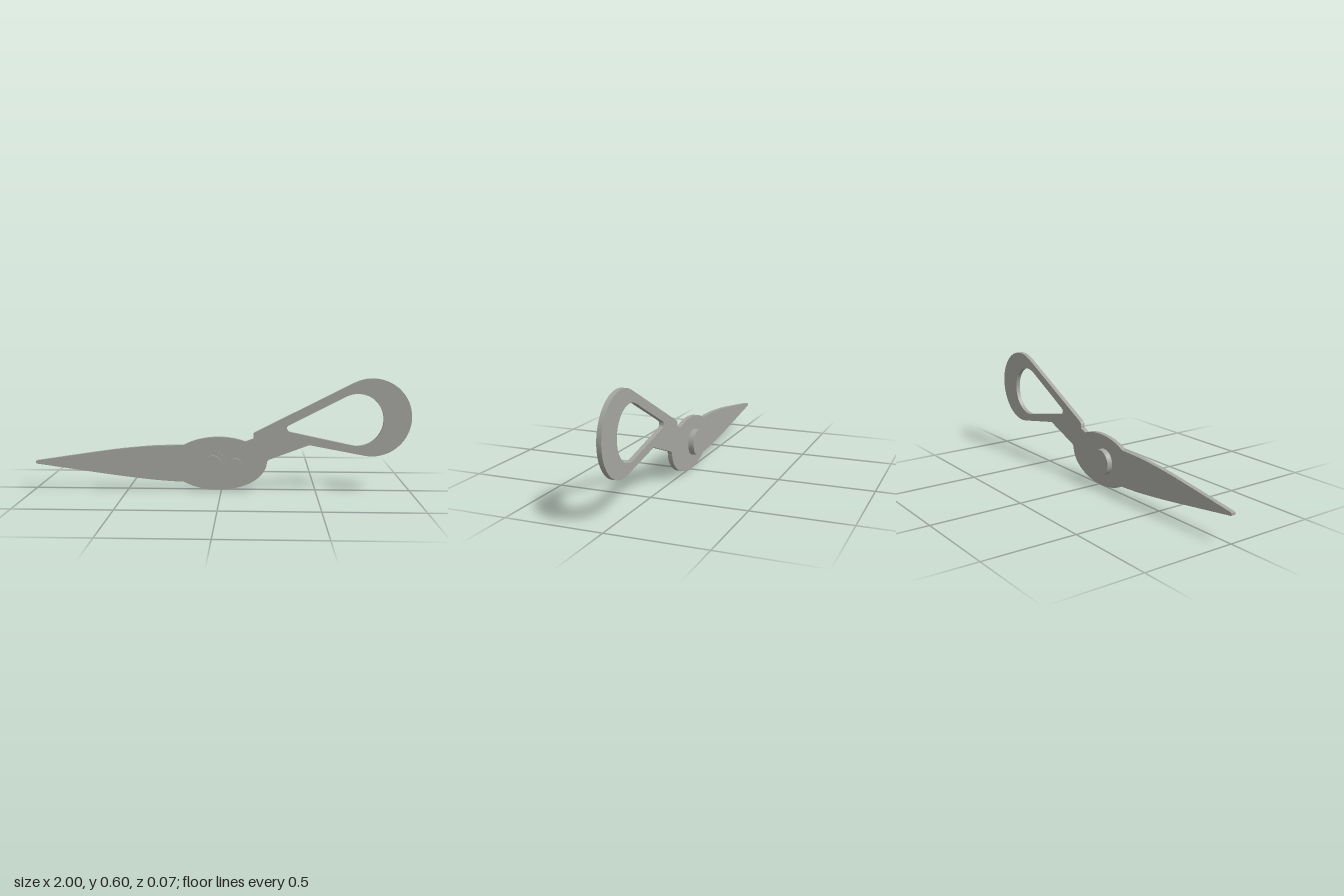
import * as THREE from 'three';
import { toCreasedNormals } from 'three/addons/utils/BufferGeometryUtils.js';

const PIVOT_Y = 0.142;

// One-piece outline: blade, pivot boss and looped handle
function bladeOutline() {
  const s = new THREE.Shape();
  // upper blade edge
  s.moveTo(-1, 0.138);
  s.lineTo(-1, 0.15);
  s.lineTo(-0.99, 0.153);
  s.splineThru([[-0.6, 0.212], [-0.4, 0.234], [-0.28, 0.24], [-0.2, 0.242]].map(p => new THREE.Vector2(...p)));
  // top of the boss and the stop notch
  s.bezierCurveTo(-0.11, 0.293, 0.03, 0.3, 0.128, 0.262);
  s.lineTo(0.17, 0.278);
  s.lineTo(0.17, 0.302);
  s.quadraticCurveTo(0.172, 0.309, 0.187, 0.316);
  // handle loop
  s.lineTo(0.70, 0.578);
  s.absarc(0.794, 0.394, 0.206, 2.05, -1.755, true);
  s.lineTo(0.465, 0.246);
  s.lineTo(0.256, 0.167);
  s.quadraticCurveTo(0.242, 0.162, 0.242, 0.145);
  // underside of the boss
  s.bezierCurveTo(0.23, 0.06, 0.12, 0.003, -0.016, 0.001);
  s.bezierCurveTo(-0.09, 0.0, -0.15, 0.018, -0.2, 0.043);
  // lower blade edge
  s.splineThru([[-0.28, 0.047], [-0.4, 0.057], [-0.6, 0.081], [-0.99, 0.135]].map(p => new THREE.Vector2(...p)));
  s.closePath();

  // finger opening, wound against the outline so its walls face inwards
  const hole = new THREE.Path();
  hole.moveTo(0.353, 0.348);
  hole.quadraticCurveTo(0.347, 0.344, 0.347, 0.336);
  hole.quadraticCurveTo(0.349, 0.319, 0.364, 0.315);
  hole.lineTo(0.688, 0.246);
  hole.absarc(0.717, 0.381, 0.138, -1.78, 2.05, false);
  hole.closePath();
  s.holes.push(hole);
  return s;
}

export function createModel() {
  const group = new THREE.Group();
  const material = new THREE.MeshStandardMaterial({ color: 0xa5a5a0 });

  const add = (name, geometry) => {
    const mesh = new THREE.Mesh(geometry, material);
    mesh.name = name;
    group.add(mesh);
    return mesh;
  };

  // Flat plate
  const plate = new THREE.ExtrudeGeometry(bladeOutline(), { depth: 0.024, bevelEnabled: false, curveSegments: 32 });
  plate.translate(0, 0, -0.004);
  add('bladeAndHandle', toCreasedNormals(plate, 0.5));

  // Round parts lying along z
  const disc = (name, x, radius, back, front) => {
    const g = new THREE.CylinderGeometry(radius, radius, front - back, 48);
    g.rotateX(Math.PI / 2);
    add(name, g).position.set(x, PIVOT_Y, (back + front) / 2);
  };
  disc('pivotBolt', -0.047, 0.07, -0.035, 0.024);
  disc('pivotCap', -0.045, 0.046, 0.02, 0.036);
  disc('stopPin', 0.075, 0.032, 0.015, 0.035);

  return group;
}
